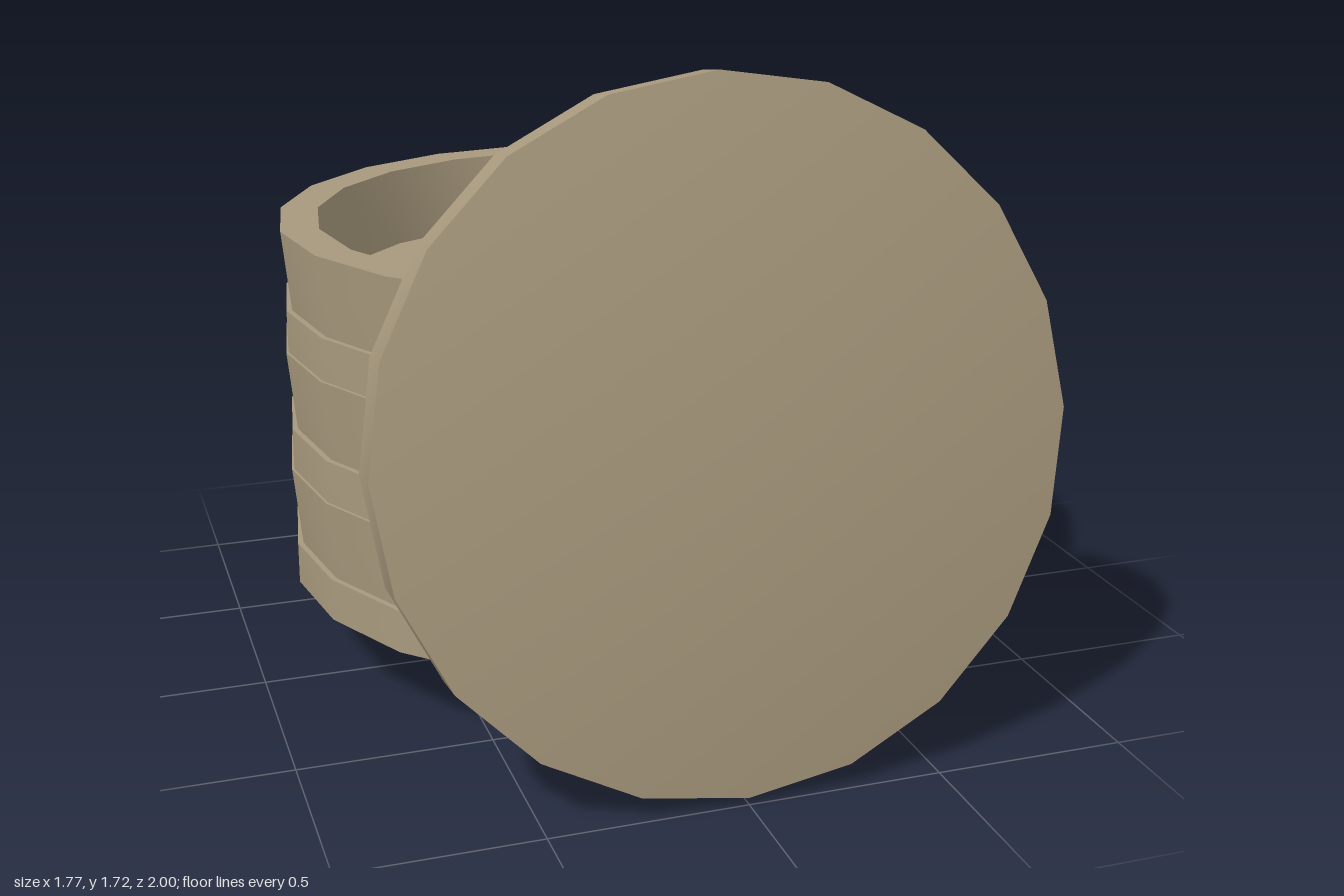
import * as THREE from 'three';
import { toCreasedNormals } from 'three/addons/utils/BufferGeometryUtils.js';

const SIDES = 20;

export function createModel() {
  const group = new THREE.Group();
  const bamboo = new THREE.MeshStandardMaterial({ color: 0xa8997d });
  bamboo.name = 'bamboo';

  // Lathe a profile with smooth sides and sharp rims
  const turned = (name, profile, parent) => {
    const points = profile.map(([r, y]) => new THREE.Vector2(r, y));
    const geometry = toCreasedNormals(new THREE.LatheGeometry(points, SIDES), Math.PI / 6);
    const mesh = new THREE.Mesh(geometry, bamboo);
    mesh.name = name;
    parent.add(mesh);
    return mesh;
  };

  // Three stacked baskets: a solid base disc under a flared hollow wall
  for (let i = 0; i < 3; i++) {
    const basket = new THREE.Group();
    basket.name = `basket${i + 1}`;
    basket.position.set(0, 0.23 + i * 0.3275, -0.12);
    turned('basketBase', [[0, 0], [0.877, 0], [0.877, 0.113], [0, 0.113]], basket);
    turned('basketWall', [[0.862, 0.113], [0.883, 0.326], [0.782, 0.326], [0.758, 0.113]], basket);
    group.add(basket);
  }

  // Shallow conical lid leaning on the front, hollow behind
  const lid = turned('lid', [[0, 0.11], [0.86, 0], [0.86, 0.11], [0, 0.22]], group);
  lid.position.set(0, 0.853, 0.755);
  lid.rotation.x = THREE.MathUtils.degToRad(81);

  return group;
}
